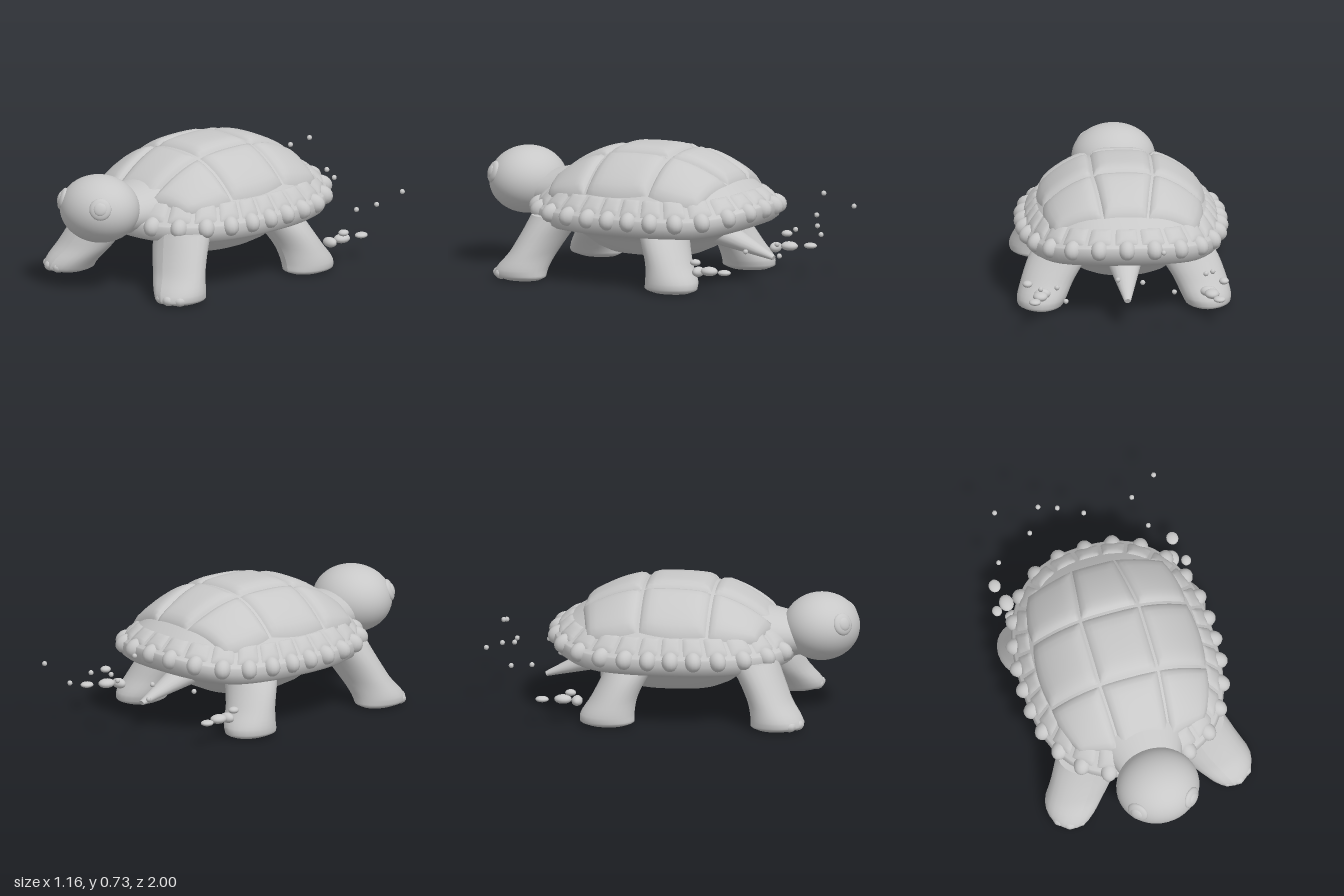
import * as THREE from 'three';

const A = 0.55, B = 0.67, N = 2.5; // plan of the shell: a rounded oval
const ovalRadius = (x, z) => Math.pow(Math.pow(Math.abs(x) / A, N) + Math.pow(Math.abs(z) / B, N), 1 / N);
const domeAt = (r) => 0.37 + 0.335 * Math.pow(Math.max(0, 1 - Math.pow(r, 2.65)), 1.1);
const backLift = (z) => 0.5 * Math.pow(Math.max(0, -z - 0.35), 2); // the rim rises over the tail
const ovalPoint = (t, r) => {
  const x = Math.sin(t), z = Math.cos(t), k = r / ovalRadius(x, z);
  return [x * k, z * k];
};

export function createModel() {
  const group = new THREE.Group();
  const clay = new THREE.MeshStandardMaterial({ color: 0xc8c8c8 });
  clay.name = 'light grey clay';

  const add = (name, geometry) => {
    const mesh = new THREE.Mesh(geometry, clay);
    mesh.name = name;
    group.add(mesh);
    return mesh;
  };
  const ball = (name, pos, radii, segs = 16) => {
    const mesh = add(name, new THREE.SphereGeometry(1, segs, Math.ceil(segs * 0.7)));
    mesh.position.set(...pos);
    mesh.scale.set(...radii);
    return mesh;
  };

  // Belly, rim and dome in one turned profile, stretched to the oval plan
  const profile = [[0, 0.13], [0.26, 0.134], [0.38, 0.145], [0.48, 0.175], [0.58, 0.225], [0.67, 0.262], [0.82, 0.28], [0.92, 0.29], [0.97, 0.308], [0.99, 0.35]];
  for (let i = 19; i >= 0; i--) {
    const r = 0.985 * Math.sin((i / 20) * Math.PI / 2);
    profile.push([r, domeAt(r)]);
  }
  const body = new THREE.LatheGeometry(profile.map((p) => new THREE.Vector2(...p)), 64);
  const bp = body.attributes.position;
  for (let i = 0; i < bp.count; i++) {
    const x = bp.getX(i), z = bp.getZ(i), r = Math.hypot(x, z);
    if (r > 1e-6) {
      const [px, pz] = ovalPoint(Math.atan2(x, z), r);
      bp.setXYZ(i, px, bp.getY(i) + backLift(pz), pz);
    }
  }
  body.computeVertexNormals();
  add('shellBody', body);

  // A pillow-like plate lying on the dome; place(u, v) gives its plan position
  const plate = (name, place, raise, power, segs = 12) => {
    const g = new THREE.PlaneGeometry(2, 2, segs, segs);
    const p = g.attributes.position;
    for (let i = 0; i < p.count; i++) {
      const ease = (t) => Math.sin(t * Math.PI / 2); // more rows near the edges
      const u = ease(p.getX(i)), v = ease(p.getY(i));
      const [x, z] = place(u * 0.985, v * 0.985);
      const off = raise * (1 - Math.pow(Math.max(Math.abs(u), Math.abs(v)), power)) - 0.008;
      const r = ovalRadius(x, z), out = 1 + off * r * 1.2;
      p.setXYZ(i, x * out, domeAt(r) + backLift(z) + off, z * out);
    }
    g.computeVertexNormals();
    return add(name, g);
  };

  // Nine large scutes; rows run from the front to the back
  const half = [[[0.14, 0.56], [0.35, 0.49]], [[0.165, 0.22], [0.44, 0.22]], [[0.165, -0.16], [0.435, -0.16]], [[0.12, -0.5], [0.38, -0.45]]];
  const corners = half.map(([a, b]) => [[-b[0], b[1]], [-a[0], a[1]], a, b]);
  const mix = (a, b, t) => [a[0] + (b[0] - a[0]) * t, a[1] + (b[1] - a[1]) * t];
  for (let row = 0; row < 3; row++) {
    for (let col = 0; col < 3; col++) {
      plate('scute', (u, v) => {
        const s = (u + 1) / 2, t = (v + 1) / 2;
        const p = mix(mix(corners[row][col], corners[row][col + 1], s), mix(corners[row + 1][col], corners[row + 1][col + 1], s), t);
        // bulge the outer sides
        if (col !== 1) p[0] += (col - 1) * 0.025 * (col === 0 ? 1 - s : s) * (1 - v * v);
        return p;
      }, 0.034, 8);
    }
  }

  // Lower ring of scutes and the knobbly rim, open where the neck comes out
  const count = 27;
  for (let i = 1; i < count - 1; i++) {
    const t = ((i + 0.5) / count) * Math.PI * 2, step = Math.PI / count;
    plate('marginScute', (u, v) => ovalPoint(t + u * step, 0.89 - v * 0.07), 0.02, 4, 8);
    const [x, z] = ovalPoint(t, 0.945);
    const knob = ball('rimKnob', [x, 0.375 + backLift(z), z], [0.048, 0.052, 0.062], 14);
    knob.rotation.set(0.35, t, 0, 'YXZ');
  }

  // Head
  ball('head', [0, 0.468, 0.792], [0.227, 0.183, 0.208], 40);

  // Neck, spreading into the shoulders
  const neck = add('neck', new THREE.CylinderGeometry(0.16, 0.27, 0.3, 32, 4, true));
  neck.geometry.scale(1, 1, 0.66);
  neck.geometry.rotateX(Math.PI / 2);
  neck.position.set(0, 0.42, 0.54);

  // Tube through oval level rings, closed at both ends: [x, y, z, radiusX, radiusZ]
  const limb = (name, rings, side) => {
    const curve = new THREE.CatmullRomCurve3(rings.map((r) => new THREE.Vector3(r[0], r[1], r[2])));
    const sizes = new THREE.CatmullRomCurve3(rings.map((r) => new THREE.Vector3(r[3], r[4], 0)));
    const g = new THREE.CylinderGeometry(1, 1, 1, 24, 20);
    const p = g.attributes.position;
    for (let i = 0; i < p.count; i++) {
      const t = p.getY(i) + 0.5, c = curve.getPoint(t), s = sizes.getPoint(t);
      p.setXYZ(i, side * c.x + p.getX(i) * s.x, Math.max(0, c.y), c.z + p.getZ(i) * s.y);
    }
    g.computeVertexNormals();
    add(name, g);
  };
  const frontLeg = [[0.445, 0, 0.595, 0.08, 0.1], [0.445, 0.02, 0.605, 0.125, 0.145], [0.432, 0.06, 0.6, 0.143, 0.142], [0.378, 0.15, 0.555, 0.165, 0.122], [0.33, 0.25, 0.505, 0.175, 0.125], [0.295, 0.35, 0.45, 0.17, 0.14]];
  const backLeg = [[0.45, 0, -0.32, 0.08, 0.105], [0.453, 0.02, -0.32, 0.123, 0.148], [0.445, 0.06, -0.32, 0.135, 0.147], [0.41, 0.15, -0.285, 0.145, 0.125], [0.355, 0.25, -0.235, 0.16, 0.125], [0.3, 0.34, -0.19, 0.16, 0.135]];

  for (const side of [1, -1]) {
    limb('frontLeg', frontLeg, side);
    limb('backLeg', backLeg, side);

    // Toes along the outer front of each front foot
    for (const a of [-0.35, 0.25, 0.85]) {
      ball('toe', [side * (0.448 + 0.095 * Math.sin(a)), 0.034, 0.605 + 0.115 * Math.cos(a)], [0.038, 0.03, 0.038], 10);
    }

    // Eye: a shallow bulge with a smaller one on it
    const normal = new THREE.Vector3(side * 0.66, 0.3, 0.69).normalize();
    for (const [name, radius, depth, shift] of [['eye', 0.06, 0.024, 0], ['pupil', 0.037, 0.016, 0.014]]) {
      const eye = ball(name, [side * 0.15, 0.518, 0.925], [radius, radius, depth], 24);
      eye.quaternion.setFromUnitVectors(new THREE.Vector3(0, 0, 1), normal);
      eye.position.addScaledVector(normal, shift);
    }

    // Pebbles behind each back foot
    ball('pebble', [side * 0.465, 0.135, -0.56], [0.04, 0.025, 0.048]);
    ball('pebble', [side * 0.5, 0.14, -0.67], [0.033, 0.016, 0.037]);
    ball('pebble', [side * 0.532, 0.19, -0.51], [0.027, 0.018, 0.03]);
    ball('pebble', [side * 0.45, 0.125, -0.485], [0.045, 0.028, 0.03]);
  }

  // Tail
  const tail = add('tail', new THREE.CylinderGeometry(0.018, 0.1, 0.37, 16, 4));
  tail.geometry.rotateX(-Math.PI / 2);
  tail.geometry.scale(1, 0.75, 1);
  tail.position.set(0, 0.215, -0.535);
  tail.rotation.x = -0.35;

  // Loose droplets trailing behind
  const drops = [[-0.41, 0.395, -0.985], [0.485, 0.32, -0.985], [-0.07, 0.335, -0.94], [0.345, 0.23, -0.925], [-0.185, 0.495, -0.918], [-0.245, 0.255, -0.87], [0.06, 0.33, -0.875], [0.385, 0.245, -0.74], [-0.46, 0.32, -0.73]];
  for (const d of drops) ball('droplet', d, [0.014, 0.014, 0.014], 10);

  return group;
}
